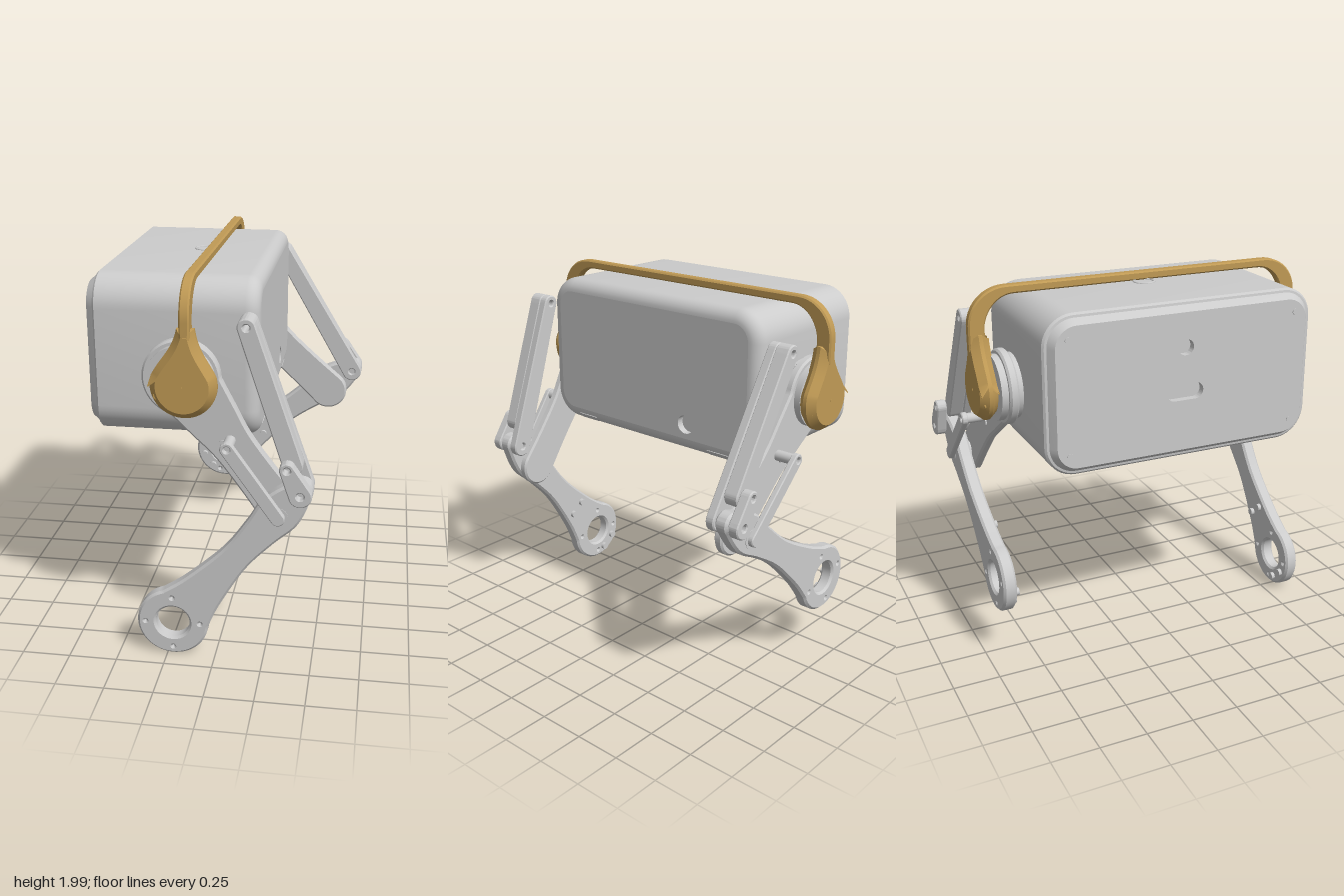
import * as THREE from 'three';
import { toCreasedNormals } from 'three/addons/utils/BufferGeometryUtils.js';

const grey = new THREE.MeshStandardMaterial({ color: 0xcccccc, side: THREE.DoubleSide });
const tan = new THREE.MeshStandardMaterial({ color: 0xc09a55 });
const ZC = -0.012; // middle plane between the two sides

function add(parent, name, geo, mat = grey) {
  const m = new THREE.Mesh(geo, mat);
  m.name = name;
  parent.add(m);
  return m;
}

// Flat part of thickness t with chamfered edges, spanning z = 0..t
function plate(shape, t, bevel = 0.01, size = bevel) {
  const g = new THREE.ExtrudeGeometry(shape, {
    depth: t - 2 * bevel, bevelEnabled: bevel > 0, bevelThickness: bevel,
    bevelSize: size, bevelOffset: -size, bevelSegments: 1, curveSegments: 20,
  });
  g.translate(0, 0, bevel);
  return toCreasedNormals(g, 0.5);
}

function hole(shape, x, y, r) {
  shape.holes.push(new THREE.Path().absarc(x, y, r, 0, Math.PI * 2, true));
}

// Two round ends on the x axis joined by smooth sides through the mid points
function limb(r0, r1, len, mids = [], a = Math.PI / 2, b = Math.PI / 2) {
  const s = new THREE.Shape();
  const v = (x, y) => new THREE.Vector2(x, y);
  s.absarc(0, 0, r0, a, 2 * Math.PI - a, false);
  s.splineThru([...mids.map(([x, y]) => v(x, -y)), v(len + r1 * Math.cos(b), -r1 * Math.sin(b))]);
  s.absarc(len, 0, r1, -b, b, false);
  s.splineThru([...mids.map(([x, y]) => v(x, y)).reverse(), v(r0 * Math.cos(a), r0 * Math.sin(a))]);
  return s;
}

function slot(w, h, cx = 0, cy = 0) {
  const s = new THREE.Shape(), r = h / 2, k = w / 2 - r;
  s.absarc(cx + k, cy, r, -Math.PI / 2, Math.PI / 2, false);
  s.absarc(cx - k, cy, r, Math.PI / 2, Math.PI * 1.5, false);
  s.closePath();
  return s;
}

// Rounded rectangle loop, counter-clockwise
function loop(w, h, r) {
  const pts = [];
  for (let c = 0; c < 4; c++) for (let i = 0; i <= 10; i++) {
    const a = (c + i / 10) * Math.PI / 2;
    const sx = c === 0 || c === 3 ? 1 : -1, sy = c < 2 ? 1 : -1;
    pts.push(new THREE.Vector2(sx * (w / 2 - r) + r * Math.cos(a), sy * (h / 2 - r) + r * Math.sin(a)));
  }
  return pts;
}

// Body is lofted along its local z, then turned so that axis points to +x
function makeBody() {
  const body = new THREE.Group();
  body.name = 'body';
  body.rotation.y = Math.PI / 2;
  body.position.set(0, 1.548, -0.015);
  const W = 1.47, H = 0.815, R = 0.16, round = 0.07;
  const profile = [[-0.66, 0.05], [-0.622, 0.022], [-0.62, 0.01], [-0.61, 0]];
  for (let i = 0; i <= 8; i++) {
    const a = i / 8 * Math.PI / 2;
    profile.push([0.2 - round + round * Math.sin(a), round * (1 - Math.cos(a))]);
  }
  const ring = (inset) => loop(W - 2 * inset, H - 2 * inset, R - inset);
  const pos = [], idx = [], n = ring(0).length;
  profile.forEach(([d, inset]) => ring(inset).forEach((p) => pos.push(p.x, p.y, d)));
  for (let i = 0; i < profile.length - 1; i++) for (let j = 0; j < n; j++) {
    const a = i * n + j, b = i * n + (j + 1) % n;
    idx.push(a, b, b + n, a, b + n, a + n);
  }
  const g = new THREE.BufferGeometry();
  g.setAttribute('position', new THREE.Float32BufferAttribute(pos, 3));
  g.setIndex(idx);
  add(body, 'shell', toCreasedNormals(g, 0.4));

  // End faces with recessed openings
  const face = (name, inset, d, openings, flip) => {
    const s = new THREE.Shape(ring(inset));
    const holder = new THREE.Group();
    holder.name = name;
    holder.position.z = d;
    if (flip) holder.rotation.y = Math.PI;
    openings.forEach(([w, h, x, y]) => {
      const o = slot(w, h, x, y);
      s.holes.push(o);
      const frame = slot(w + 0.02, h + 0.02, x, y);
      frame.holes.push(o);
      add(holder, 'openingWall', plate(frame, 0.04, 0)).position.z = -0.041;
      add(holder, 'openingFloor', new THREE.ShapeGeometry(frame.clone().holes.length ? slot(w, h, x, y) : o)).position.z = -0.04;
    });
    add(holder, 'panel', new THREE.ShapeGeometry(s));
    body.add(holder);
  };
  face('sensorFace', round, 0.2, [[0.104, 0.1, 0.265, -0.258]], false);
  face('portFace', 0.05, -0.66, [[0.084, 0.08, 0, 0.18], [0.2, 0.085, 0, -0.05]], true);

  // Slots along the lower rounded edge
  [-0.475, 0.475].forEach((u) => {
    const s = slot(0.16, 0.045);
    s.holes.push(slot(0.135, 0.022));
    const m = add(body, 'edgeSlot', plate(s, 0.012, 0));
    m.position.set(u, -0.376, 0.172);
    m.rotation.x = Math.PI / 4;
  });
  // Corner screws on the port face
  for (const x of [-0.62, 0.62]) for (const y of [-0.29, 0.29]) {
    add(body, 'cornerScrew', new THREE.CylinderGeometry(0.016, 0.016, 0.01, 12).rotateX(Math.PI / 2)).position.set(x, y, -0.66);
  }
  // Button ring on top
  const button = add(body, 'topButton', new THREE.TorusGeometry(0.053, 0.006, 8, 32).rotateX(Math.PI / 2));
  button.position.set(0.005, H / 2, -0.185);
  return body;
}

// Carrying handle arching over the body
function makeHandle() {
  const s = new THREE.Shape();
  s.moveTo(0.945, 1.68);
  s.lineTo(0.945, 1.8);
  s.bezierCurveTo(0.945, 1.91, 0.86, 2, 0.74, 2);
  s.lineTo(-0.74, 2);
  s.bezierCurveTo(-0.86, 2, -0.945, 1.91, -0.945, 1.8);
  s.lineTo(-0.945, 1.68);
  s.lineTo(-0.86, 1.68);
  s.lineTo(-0.86, 1.8);
  s.bezierCurveTo(-0.85, 1.88, -0.79, 1.955, -0.7, 1.955);
  s.lineTo(0.7, 1.955);
  s.bezierCurveTo(0.79, 1.955, 0.85, 1.88, 0.86, 1.8);
  s.lineTo(0.86, 1.68);
  const m = new THREE.Mesh(plate(s, 0.05, 0.008), tan);
  m.name = 'handle';
  m.rotation.y = Math.PI / 2;
  m.position.set(-0.151, 0, -0.015);
  return m;
}

// One side: s = 1 for +z, -1 for -z; knee, tip and foot are [x, y]
function makeSide(s, knee, tip, foot) {
  const side = new THREE.Group();
  side.name = s > 0 ? 'frontLeg' : 'rearLeg';
  const hip = [-0.17, 1.49], V = THREE.Vector2;
  const zLow = (z0, z1) => ZC + Math.min(s * z0, s * z1);
  const flat = (name, shape, from, to, z0, z1, bevel, mat) => {
    const m = add(side, name, plate(shape, z1 - z0, bevel), mat);
    m.position.set(from[0], from[1], zLow(z0, z1));
    m.rotation.z = Math.atan2(to[1] - from[1], to[0] - from[0]);
    return m;
  };
  const disc = (name, x, y, r, z0, z1, mat) => {
    const m = add(side, name, new THREE.CylinderGeometry(r, r, z1 - z0, 32).rotateX(Math.PI / 2), mat);
    m.position.set(x, y, ZC + s * (z0 + z1) / 2);
  };
  const dist = (a, b) => new V(...a).distanceTo(new V(...b));
  const along = (a, b, d, off = 0) => {
    const u = new V(b[0] - a[0], b[1] - a[1]).normalize();
    return [a[0] + u.x * d - u.y * off, a[1] + u.y * d + u.x * off];
  };

  // Hip motor and thigh
  disc('hipMotor', ...hip, 0.17, 0.7, 0.85);
  const L = dist(hip, knee);
  flat('thigh', limb(0.195, 0.115, L, [[0.26, 0.135], [0.42, 0.11], [0.62, 0.107]], 0.95, 1.5), hip, knee, 0.765, 0.815, 0.01);
  disc('thighBolt', ...along(hip, knee, 0.385, -0.03), 0.022, 0.8, 0.822);

  // Short rod lying along the thigh, held by pins
  const rodTop = along(hip, knee, 0.39, 0.01);
  const rod = limb(0.035, 0.035, dist(rodTop, knee));
  hole(rod, 0, 0, 0.016);
  flat('shortRod', rod, rodTop, knee, 0.91, 0.942, 0.005);
  disc('rodPin', ...rodTop, 0.028, 0.8, 0.915);
  disc('kneePin', ...knee, 0.05, 0.8, 0.915);

  // Shank with a ring-shaped foot
  const shank = limb(0.185, 0.06, dist(foot, tip),
    [[0.25, 0.112], [0.5, 0.076], [0.7, 0.086], [0.84, 0.106], [0.93, 0.094]], 0.96, 1.4);
  hole(shank, 0, 0, 0.088);
  for (let i = 0; i < 4; i++) hole(shank, 0.143 * Math.cos(i * Math.PI / 2 + 0.7), 0.143 * Math.sin(i * Math.PI / 2 + 0.7), 0.004);
  flat('shank', shank, foot, tip, 0.838, 0.912, 0.012);
  for (const d of [-0.13, 0.285]) for (const off of [-0.045, 0.05]) {
    disc('shankBolt', ...along(foot, tip, d, off), 0.021, 0.818, 0.842);
  }

  // Long link: inner lug reaches the tip, outer block stops short of the shank
  const top = [0.16, 1.78], len = dist(top, tip);
  const inner = limb(0.045, 0.058, len);
  hole(inner, 0, 0, 0.016);
  hole(inner, len, 0, 0.018);
  flat('longLinkInner', inner, top, tip, 0.782, 0.832, 0.006);
  const outer = limb(0.045, 0.05, len - 0.135);
  hole(outer, 0, 0, 0.016);
  flat('longLinkOuter', outer, top, tip, 0.83, 0.91, 0.006);
  disc('tipPin', ...tip, 0.03, 0.8, 0.93);

  // Small crank outside the tip
  const end = [tip[0] - 0.065, tip[1] + 0.13];
  const crank = limb(0.058, 0.038, dist(tip, end));
  hole(crank, 0, 0, 0.018);
  hole(crank, dist(tip, end), 0, 0.016);
  flat('crank', crank, tip, end, 0.918, 0.975, 0.006);

  // Teardrop mount for the handle
  const drop = new THREE.Shape();
  drop.absarc(-0.14, 1.485, 0.163, Math.PI * 0.9, Math.PI * 2.1, false);
  drop.bezierCurveTo(-0.03, 1.62, -0.07, 1.66, -0.083, 1.765);
  drop.lineTo(-0.168, 1.765);
  drop.bezierCurveTo(-0.19, 1.66, -0.25, 1.62, -0.295, 1.535);
  const mount = add(side, 'handleMount', plate(drop, 0.1, 0.04, 0.034), tan);
  mount.position.z = zLow(0.843, 0.943);
  disc('mountPin', -0.145, 1.483, 0.008, 0.94, 0.945, tan);
  for (const x of [-0.265, -0.022]) disc('mountBolt', x, 1.435, 0.018, 0.87, 0.925, tan);
  return side;
}

export function createModel() {
  const model = new THREE.Group();
  model.name = 'leggedRobot';
  model.add(makeBody(), makeHandle());
  model.add(makeSide(1, [0.32, 0.83], [0.43, 0.975], [-0.22, 0.19]));
  model.add(makeSide(-1, [0.455, 0.915], [0.6, 1.04], [-0.22, 0.44]));
  return model;
}
